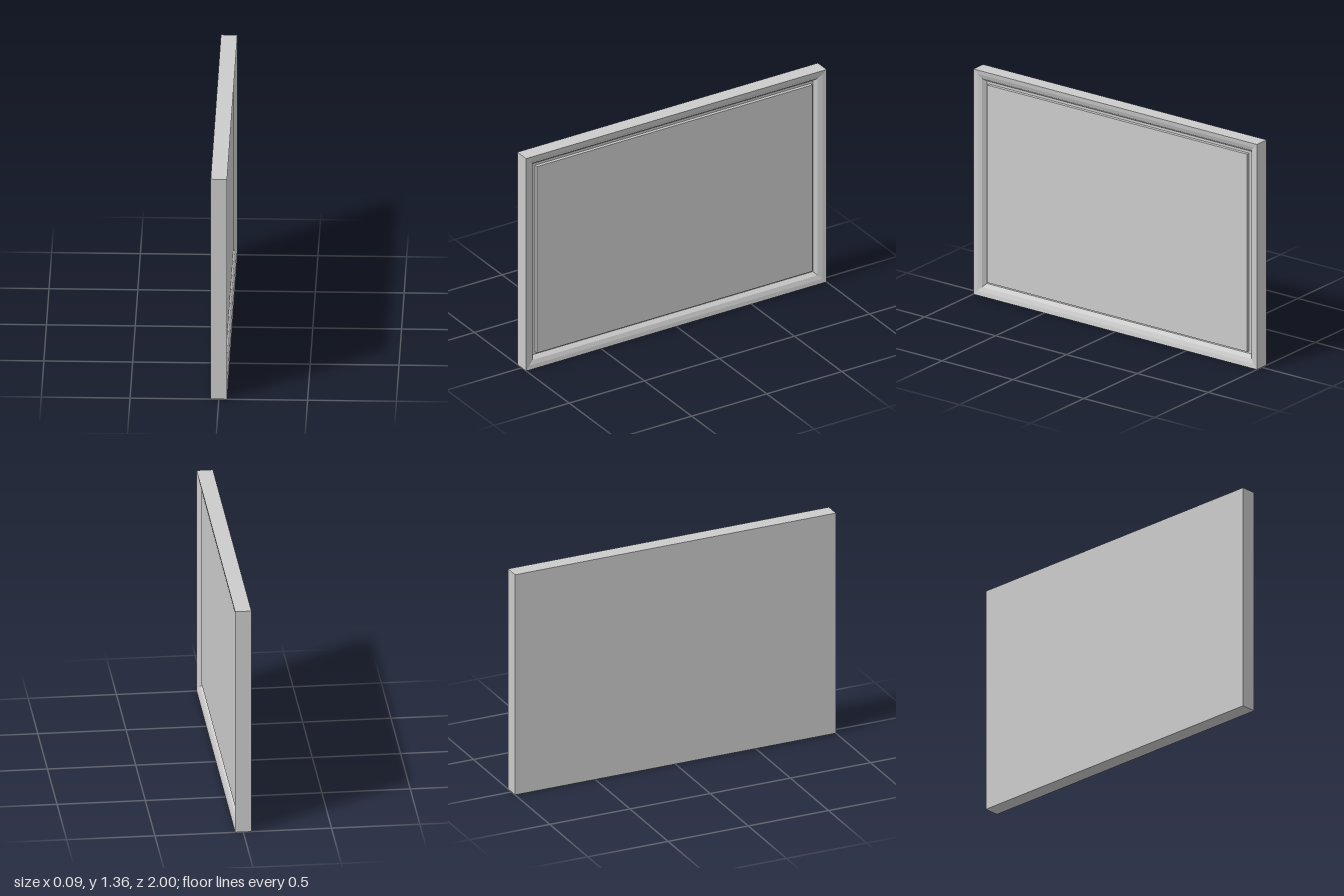
import * as THREE from 'three';

const LENGTH = 2, HEIGHT = 1.355, HALF_DEPTH = 0.046, PANEL_INSET = 0.083;

// Mitred rectangular frame: sweeps [inset, x] profile points around the four sides
function mitredFrame(profile) {
  const rings = profile.map(([inset, x]) => {
    const z = LENGTH / 2 - inset, low = inset, high = HEIGHT - inset;
    return [[x, low, z], [x, low, -z], [x, high, -z], [x, high, z]];
  });
  const positions = [];
  for (let r = 0; r < rings.length - 1; r++) {
    for (let i = 0; i < 4; i++) {
      const j = (i + 1) % 4;
      const a = rings[r][i], b = rings[r][j], c = rings[r + 1][j], d = rings[r + 1][i];
      positions.push(...a, ...b, ...c, ...a, ...c, ...d);
    }
  }
  const geometry = new THREE.BufferGeometry();
  geometry.setAttribute('position', new THREE.Float32BufferAttribute(positions, 3));
  geometry.computeVertexNormals();
  return geometry;
}

export function createModel() {
  const group = new THREE.Group();
  const material = new THREE.MeshStandardMaterial({ color: 0xcccccc });

  // Frame: flat back, square outer edge, face sloping in to a lip and a groove
  const frame = new THREE.Mesh(mitredFrame([
    [PANEL_INSET, -HALF_DEPTH],
    [0, -HALF_DEPTH],
    [0, HALF_DEPTH],
    [0.025, 0.042],
    [0.05, 0.032],
    [0.068, 0.008],
    [PANEL_INSET, 0.008],
  ]), material);
  frame.name = 'frame';

  // Panel standing proud of the groove, its back flush with the frame
  const panelFront = 0.028;
  const panel = new THREE.Mesh(new THREE.BoxGeometry(
    panelFront + HALF_DEPTH, HEIGHT - 2 * PANEL_INSET, LENGTH - 2 * PANEL_INSET), material);
  panel.position.set((panelFront - HALF_DEPTH) / 2, HEIGHT / 2, 0);
  panel.name = 'panel';

  group.add(frame, panel);
  return group;
}
